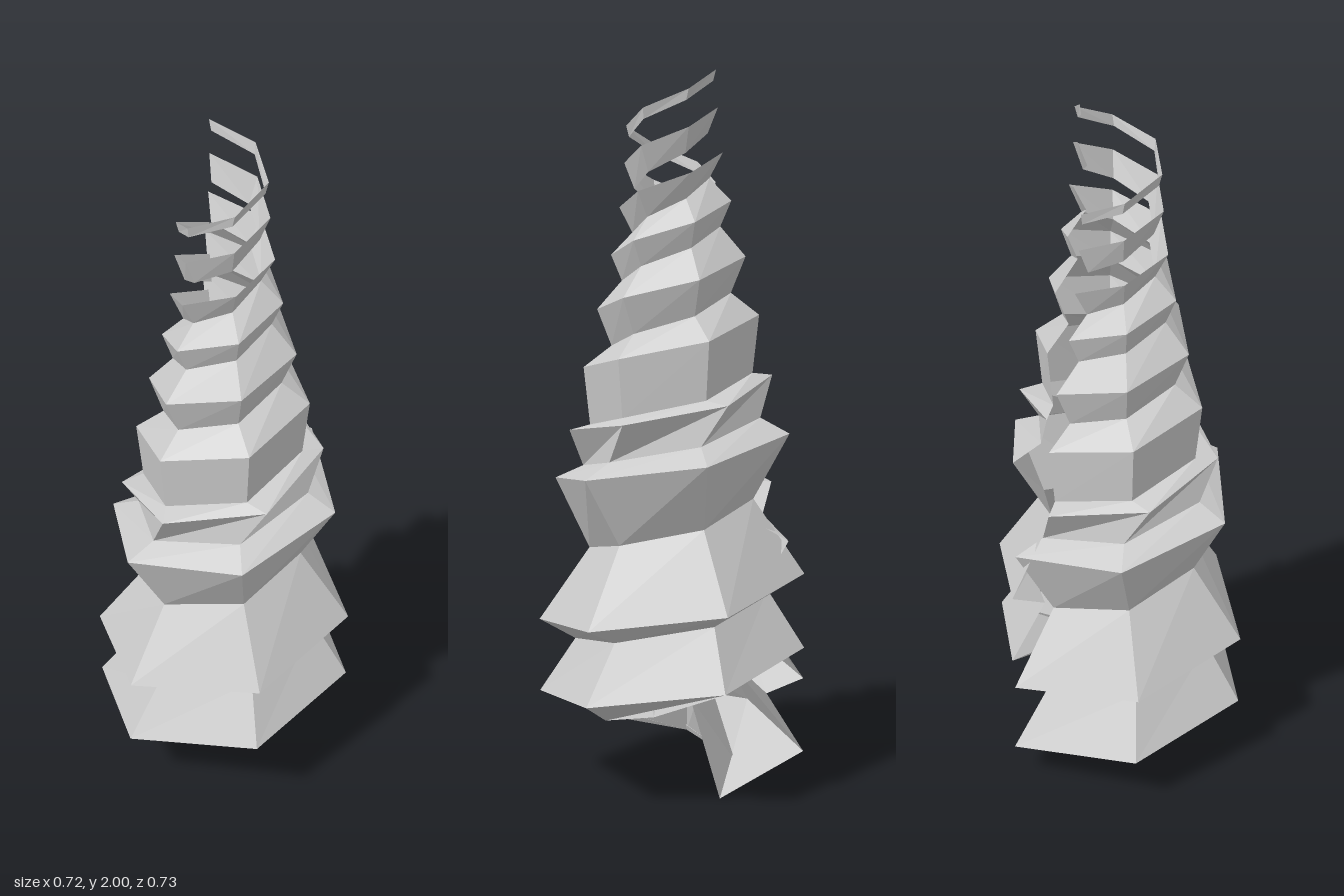
import * as THREE from 'three';

const STEPS = 6;      // sides in the single turn
const RISE = 0.3;     // climb over the whole turn

// Profile points at the start of the turn: radius, angle (degrees, x towards z), height
const underside = [[0.01, 240, 0.4], [0.1, 275, 0.28], [0.19, 261, 0], [0.375, 224, 0.11]];
const lowerTiers = [
  [0.375, 224, 0.11], [0.27, 221, 0.27], [0.373, 223, 0.32],
  [0.23, 224, 0.53], [0.333, 230, 0.72], [0.25, 228, 0.76], [0.28, 214, 0.87],
];
const upperTiers = [
  [0.28, 214, 0.87], [0.225, 222, 0.88], [0.242, 222, 1.04], [0.165, 224, 1.1],
  [0.205, 225, 1.2], [0.135, 223, 1.28], [0.165, 224, 1.35], [0.105, 224, 1.41],
  [0.142, 225, 1.48],
];
const upperRibbon = [[0.1, 224, 1.53], [0.128, 225, 1.6]];
const tipRibbon = [[0.115, 226, 1.67], [0.122, 224, 1.7]];

// Sweep a profile through one faceted, rising turn
function screw(profile) {
  const at = ([r, deg, y], step) => {
    const a = THREE.MathUtils.degToRad(deg - step * 360 / STEPS);
    return [r * Math.cos(a), y + RISE * step / STEPS, r * Math.sin(a)];
  };
  const pos = [];
  for (let s = 0; s < STEPS; s++) {
    for (let i = 0; i < profile.length - 1; i++) {
      const a = at(profile[i], s), b = at(profile[i], s + 1);
      const c = at(profile[i + 1], s + 1), d = at(profile[i + 1], s);
      pos.push(...a, ...b, ...c, ...a, ...c, ...d);
    }
  }
  const geo = new THREE.BufferGeometry();
  geo.setAttribute('position', new THREE.Float32BufferAttribute(pos, 3));
  geo.computeVertexNormals();
  return geo;
}

export function createModel() {
  const group = new THREE.Group();
  group.name = 'spiralTree';
  const material = new THREE.MeshStandardMaterial({
    color: 0xcccccc, flatShading: true, side: THREE.DoubleSide,
  });
  const parts = { underside, lowerTiers, upperTiers, upperRibbon, tipRibbon };
  for (const [name, profile] of Object.entries(parts)) {
    const mesh = new THREE.Mesh(screw(profile), material);
    mesh.name = name;
    group.add(mesh);
  }
  return group;
}
